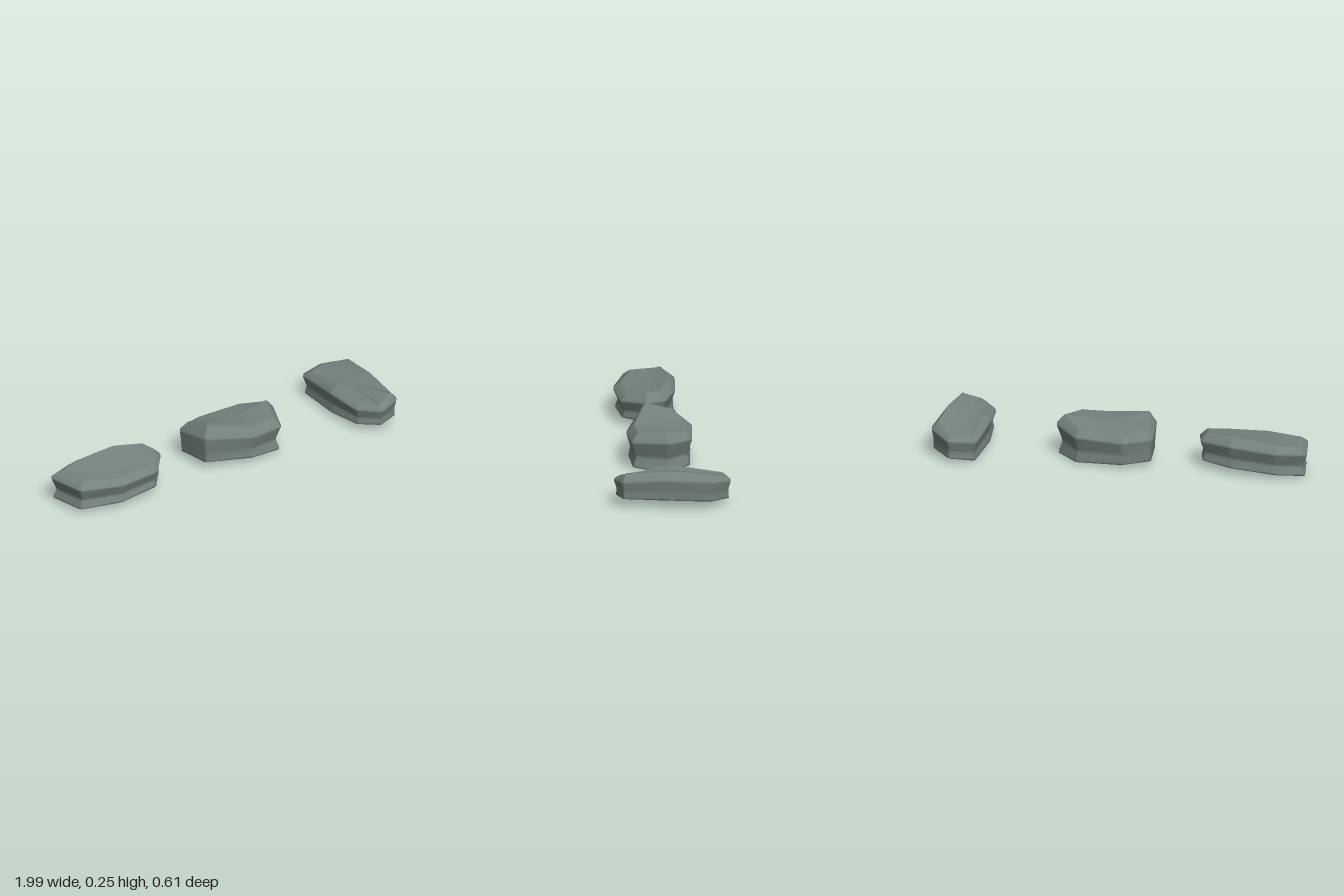
import * as THREE from 'three';

const stoneMaterial = new THREE.MeshStandardMaterial({ color: 0x74827f });
stoneMaterial.name = 'greyGreenStone';

// Replaces each corner by two nearby points, so vertical edges are softly chamfered.
function chamfer(corners, size) {
  const n = corners.length;
  const toward = (a, b) => a.clone().lerp(b, size / Math.hypot(b.x - a.x, b.z - a.z));
  return corners.flatMap((c, i) => [toward(c, corners[(i + n - 1) % n]), toward(c, corners[(i + 1) % n])]);
}

// Inward mitre direction at each point of a clockwise outline.
function inwardDirections(points) {
  const n = points.length;
  const normal = (a, b) => new THREE.Vector2(a.z - b.z, b.x - a.x).normalize();
  return points.map((p, i) => {
    const n1 = normal(points[(i + n - 1) % n], p), n2 = normal(p, points[(i + 1) % n]);
    const d = 1 + n1.dot(n2);
    return n1.add(n2).divideScalar(d);
  });
}

// corners: [x, top height, z], clockwise from above. middle: centre of the dished top.
// floor: [height at the middle, slope along x, slope along z].
// waist: [pinch at the middle, change along x]. bevel: width of the top bevel.
function makeStone(name, corners, middle, floor, waist, bevel) {
  const points = chamfer(corners.map((c) => new THREE.Vector3(...c)), 0.012);
  const inward = inwardDirections(points);
  const n = points.length;

  // Inset and height of each ring, from the base through the pinched waist and rim to the top
  const rings = points.map(({ x, y, z }) => {
    const dx = x - middle[0];
    const base = floor[0] + floor[1] * dx + floor[2] * (z - middle[2]);
    const rim = 0.14 + 0.55 * (y - 0.175);
    const pinch = waist[0] + waist[1] * dx;
    return [
      [0.02, base], [0.011, base + 0.004], [0.012, base + 0.013],
      [pinch, base + (rim - base) * 0.38], [pinch * 0.95, base + (rim - base) * 0.5],
      [0.002, rim - 0.008], [0.002, rim + 0.005],
      [bevel * 0.85, y - (y - rim) * 0.14], [bevel * 1.15, y],
    ];
  });

  const position = [], index = [];
  const levels = rings[0].length;
  for (let r = 0; r < levels; r++) {
    points.forEach((p, i) => {
      const [inset, y] = rings[i][r];
      position.push(p.x + inward[i].x * inset, y, p.z + inward[i].y * inset);
    });
  }
  // Centre points of the base and the top
  const base = levels * n, top = base + 1, last = base - n;
  position.push(middle[0], floor[0], middle[2], ...middle);

  for (let i = 0; i < n; i++) {
    const j = (i + 1) % n;
    for (let r = 0; r < last; r += n) {
      index.push(r + j, r + i, r + i + n, r + j, r + i + n, r + j + n);
    }
    index.push(base, i, j, top, last + j, last + i);
  }

  const geometry = new THREE.BufferGeometry();
  geometry.setAttribute('position', new THREE.Float32BufferAttribute(position, 3));
  geometry.setIndex(index);
  geometry.computeVertexNormals();
  const mesh = new THREE.Mesh(geometry, stoneMaterial);
  mesh.name = name;
  return mesh;
}

export function createModel() {
  const group = new THREE.Group();
  group.name = 'steppingStones';

  // Long, low stone, higher along the back
  group.add(makeStone('leftStone', [
    [-1, 0.175, -0.13], [-0.84, 0.185, -0.175], [-0.59, 0.212, -0.155], [-0.42, 0.202, -0.09],
    [-0.39, 0.195, 0.02], [-0.5, 0.165, 0.145], [-0.74, 0.165, 0.162], [-0.96, 0.175, 0.085],
  ], [-0.7, 0.165, 0], [0.032, 0.042, 0], [0.023, -0.01], 0.042));

  // Stone with a raised front corner
  group.add(makeStone('middleStone', [
    [-0.172, 0.2, -0.125], [-0.02, 0.178, -0.19], [0.24, 0.187, -0.165], [0.372, 0.222, -0.03],
    [0.29, 0.2, 0.16], [0.1, 0.2, 0.17], [-0.15, 0.252, 0.08],
  ], [0.08, 0.192, -0.01], [0.02, -0.06, 0.04], [0.018, 0.04], 0.041));

  // Narrow stone turned front to back
  group.add(makeStone('rightStone', [
    [0.74, 0.135, -0.28], [0.89, 0.145, -0.312], [1.002, 0.187, -0.2], [0.985, 0.207, 0.03],
    [0.96, 0.19, 0.272], [0.83, 0.155, 0.307], [0.74, 0.145, 0.2], [0.718, 0.177, 0],
  ], [0.85, 0.152, 0], [0.033, 0.09, 0.04], [0.015, -0.03], 0.033));

  return group;
}
